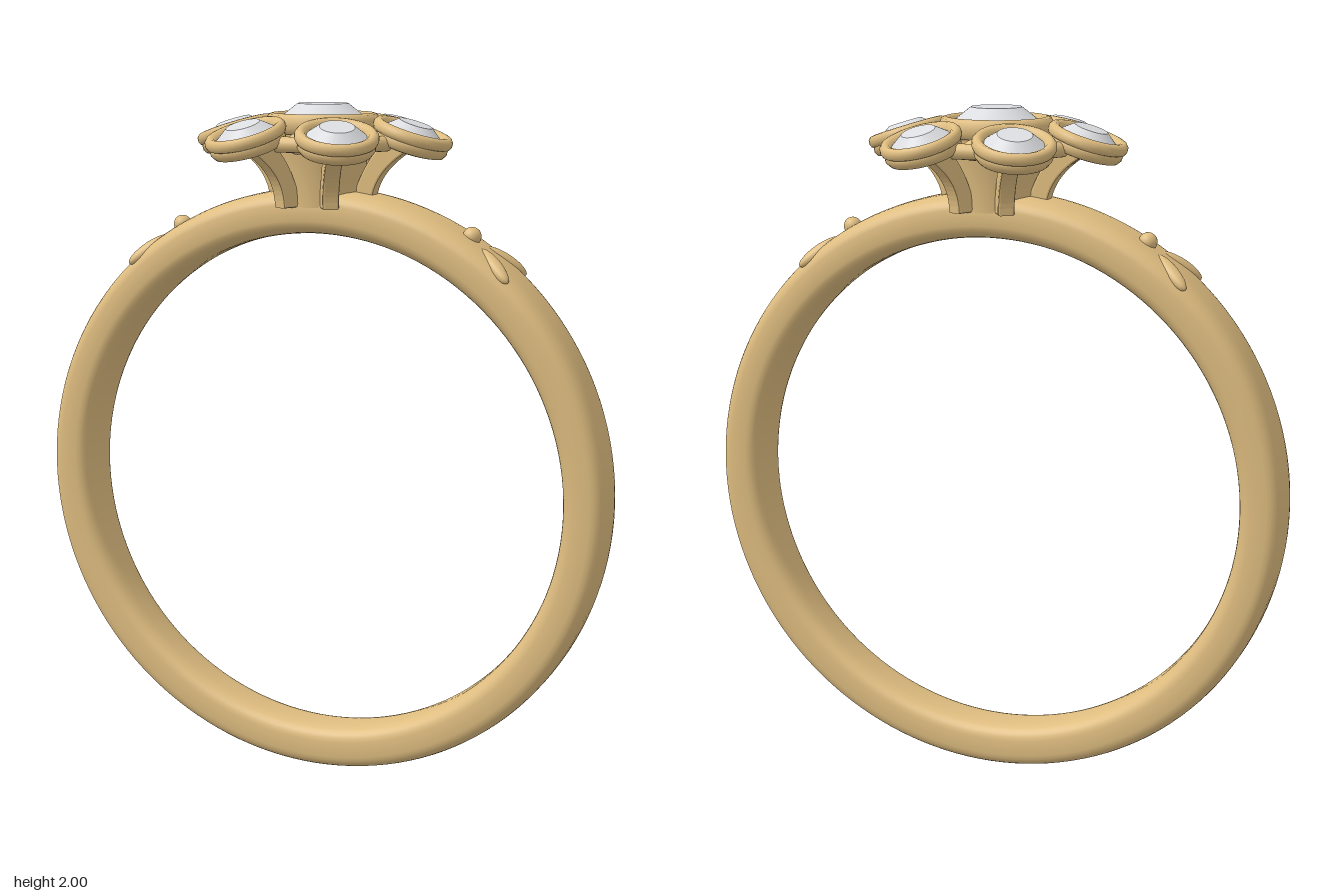
import * as THREE from 'three';
import { mergeVertices } from 'three/addons/utils/BufferGeometryUtils.js';

const gold = new THREE.MeshStandardMaterial({ color: 0xdfbd80 });
gold.name = 'gold';
const stone = new THREE.MeshStandardMaterial({ color: 0xdcdde0 });
stone.name = 'clear stone';

function add(parent, name, geometry, material, x = 0, y = 0, z = 0) {
  const mesh = new THREE.Mesh(geometry, material);
  mesh.name = name;
  mesh.position.set(x, y, z);
  parent.add(mesh);
  return mesh;
}

const lathe = (pts, segments = 48) =>
  new THREE.LatheGeometry(pts.map(([r, y]) => new THREE.Vector2(r, y)), segments);

// Band: rounded-rectangle section that widens towards the top
function bandGeometry() {
  const geo = new THREE.TorusGeometry(1, 0.1, 32, 144);
  const pos = geo.attributes.position, uv = geo.attributes.uv;
  const soft = (v) => Math.sign(v) * Math.pow(Math.abs(v), 0.62);
  for (let i = 0; i < pos.count; i++) {
    const a = uv.getX(i) * Math.PI * 2, b = uv.getY(i) * Math.PI * 2;
    const r = 0.815 + 0.065 * soft(Math.cos(b));
    const halfWidth = 0.094 + 0.015 * Math.sin(a);
    pos.setXYZ(i, r * Math.cos(a), 0.88 + r * Math.sin(a), halfWidth * soft(Math.sin(b)));
  }
  geo.deleteAttribute('uv');
  geo.deleteAttribute('normal');
  const welded = mergeVertices(geo, 1e-4);
  welded.computeVertexNormals();
  return welded;
}

// Cut stone: sloped crown with a flat table, cone beneath
function addStone(parent, name, table, girdle, base, height) {
  const group = new THREE.Group();
  group.name = name;
  add(group, 'crown', new THREE.CylinderGeometry(table, girdle, height, 40), stone, 0, base + height / 2);
  parent.add(group);
}

// Prong: curved strip rising outwards, flat at the foot
function prongGeometry() {
  const s = new THREE.Shape();
  s.moveTo(0.1, 1.715);
  s.lineTo(0.152, 1.715);
  s.bezierCurveTo(0.155, 1.78, 0.19, 1.83, 0.262, 1.875);
  s.lineTo(0.21, 1.9);
  s.bezierCurveTo(0.17, 1.87, 0.13, 1.82, 0.1, 1.715);
  const geo = new THREE.ExtrudeGeometry(s, {
    depth: 0.036, bevelEnabled: true, bevelSize: 0.006, bevelThickness: 0.006, bevelSegments: 2, curveSegments: 12,
  });
  geo.translate(0, 0, -0.018);
  return geo;
}

export function createModel() {
  const model = new THREE.Group();
  model.name = 'flowerRing';
  add(model, 'band', bandGeometry(), gold);

  // Central cup, rim and stone
  add(model, 'centreCup', lathe([
    [0, 1.71], [0.112, 1.71], [0.112, 1.71], [0.116, 1.77], [0.13, 1.85], [0.148, 1.92], [0.15, 1.95], [0.1, 1.955], [0, 1.955],
  ]), gold);
  add(model, 'centreRim', lathe([
    [0.13, 1.915], [0.155, 1.918], [0.164, 1.935], [0.164, 1.955], [0.157, 1.97], [0.145, 1.974], [0.133, 1.968], [0.128, 1.95],
  ]), gold);
  addStone(model, 'centreStone', 0.073, 0.131, 1.955, 0.045);

  // Six tilted petals, each with its prong
  const petalCup = lathe([
    [0, -0.034], [0.085, -0.034], [0.101, -0.03], [0.109, -0.018], [0.109, -0.006], [0.107, -0.003],
  ], 40);
  const petalRim = lathe([
    [0.107, -0.003], [0.113, 0], [0.117, 0.009], [0.116, 0.021], [0.109, 0.029], [0.1, 0.031], [0.09, 0.027], [0.083, 0.016], [0.08, 0.004],
  ], 40);
  const prong = prongGeometry();
  const bar = new THREE.CylinderGeometry(0.022, 0.022, 0.09, 16).rotateX(Math.PI / 2);
  const bead = new THREE.SphereGeometry(0.03, 20, 14);
  for (let k = 0; k < 6; k++) {
    const arm = new THREE.Group();
    arm.name = 'petalArm' + (k + 1);
    arm.rotation.y = k * Math.PI / 3;
    add(arm, 'prong', prong, gold);
    const petal = new THREE.Group();
    petal.name = 'petal';
    petal.position.set(0.27, 1.907, 0);
    petal.rotation.z = -0.31;
    add(petal, 'petalCup', petalCup, gold);
    add(petal, 'petalRim', petalRim, gold);
    addStone(petal, 'petalStone', 0.049, 0.084, 0.015, 0.028);
    arm.add(petal);
    model.add(arm);

    // Bar and bead joining neighbouring petals
    const link = new THREE.Group();
    link.name = 'petalLink' + (k + 1);
    link.rotation.y = (k + 0.5) * Math.PI / 3;
    add(link, 'linkBar', bar, gold, 0.235, 1.895, 0);
    add(link, 'linkBead', bead, gold, 0.19, 1.895, 0);
    model.add(link);
  }

  // Shoulder sprigs: a bead and two leaves lying on the band
  const leaf = new THREE.SphereGeometry(1, 24, 16);
  for (const side of [-1, 1]) {
    const sprig = new THREE.Group();
    sprig.name = side > 0 ? 'leftSprig' : 'rightSprig';
    const onBand = (mesh, angle, r) => {
      mesh.position.x = side * r * Math.sin(angle);
      mesh.position.y = 0.88 + r * Math.cos(angle);
    };
    onBand(add(sprig, 'sprigBead', new THREE.SphereGeometry(0.027, 20, 14), gold), 0.54, 0.882);
    for (const s of [-1, 1]) {
      const m = add(sprig, 'sprigLeaf', leaf, gold, 0, 0, s * 0.058);
      onBand(m, 0.665, 0.868);
      m.scale.set(0.075, 0.022, 0.024);
      m.rotation.order = 'ZYX';
      m.rotation.z = -side * 0.665;
      m.rotation.y = -side * s * 0.5;
    }
    model.add(sprig);
  }
  return model;
}
